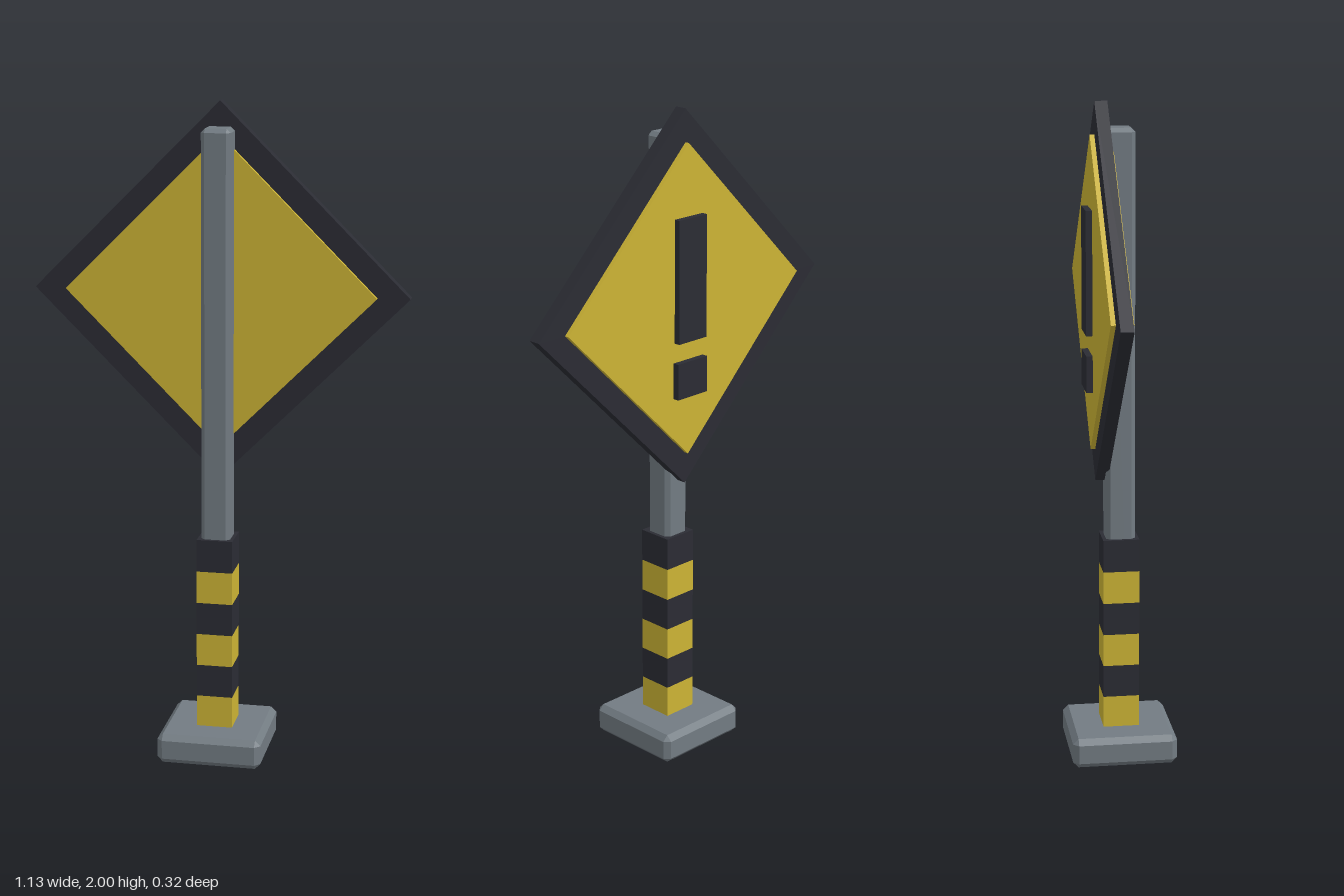
import * as THREE from 'three';
import { ConvexGeometry } from 'three/addons/geometries/ConvexGeometry.js';

const material = (name, color) => {
  const m = new THREE.MeshStandardMaterial({ color });
  m.name = name;
  return m;
};

// Box with flat chamfers along all edges and corners
function chamferBox(w, h, d, c) {
  const points = [];
  for (const sx of [-1, 1]) for (const sy of [-1, 1]) for (const sz of [-1, 1]) {
    for (let axis = 0; axis < 3; axis++) {
      const inset = [c, c, c];
      inset[axis] = 0;
      points.push(new THREE.Vector3(
        sx * (w / 2 - inset[0]), sy * (h / 2 - inset[1]), sz * (d / 2 - inset[2])));
    }
  }
  return new ConvexGeometry(points);
}

export function createModel() {
  const yellow = material('signal yellow', 0xcdb435);
  const dark = material('dark charcoal', 0x2b2c34);
  const grey = material('steel grey', 0x727b82);

  const model = new THREE.Group();
  model.name = 'warningSign';

  function add(name, geometry, mat, y, z = 0, parent = model) {
    const mesh = new THREE.Mesh(geometry, mat);
    mesh.name = name;
    mesh.position.set(0, y, z);
    parent.add(mesh);
    return mesh;
  }

  // Base and post
  add('base', chamferBox(0.32, 0.092, 0.32, 0.017), grey, 0.046);
  add('post', chamferBox(0.088, 1.845, 0.088, 0.012), grey, 1.0025);

  // Striped sleeve around the lower post
  const sleeve = new THREE.Group();
  sleeve.name = 'stripedSleeve';
  model.add(sleeve);
  const bandHeight = 0.1;
  for (let i = 0; i < 6; i++) {
    add(`sleeveBand${i + 1}`, new THREE.BoxGeometry(0.11, bandHeight, 0.11),
      i % 2 ? dark : yellow, 0.14 + i * bandHeight, 0, sleeve);
  }

  // Diamond board: dark frame with a raised yellow panel on both faces
  const diamond = (name, halfDiagonal, zBack, zFront, mat) => {
    const side = halfDiagonal * Math.SQRT2;
    const mesh = add(name, new THREE.BoxGeometry(side, side, zFront - zBack), mat,
      1.433, (zBack + zFront) / 2);
    mesh.rotation.z = Math.PI / 4;
  };
  diamond('boardFrame', 0.567, -0.072, -0.034, dark);
  diamond('boardPanel', 0.47, -0.086, -0.021, yellow);

  // Raised warning mark on the back
  add('markBar', new THREE.BoxGeometry(0.112, 0.37, 0.02), dark, 1.505, -0.095);
  add('markDot', new THREE.BoxGeometry(0.12, 0.11, 0.02), dark, 1.205, -0.095);

  return model;
}
